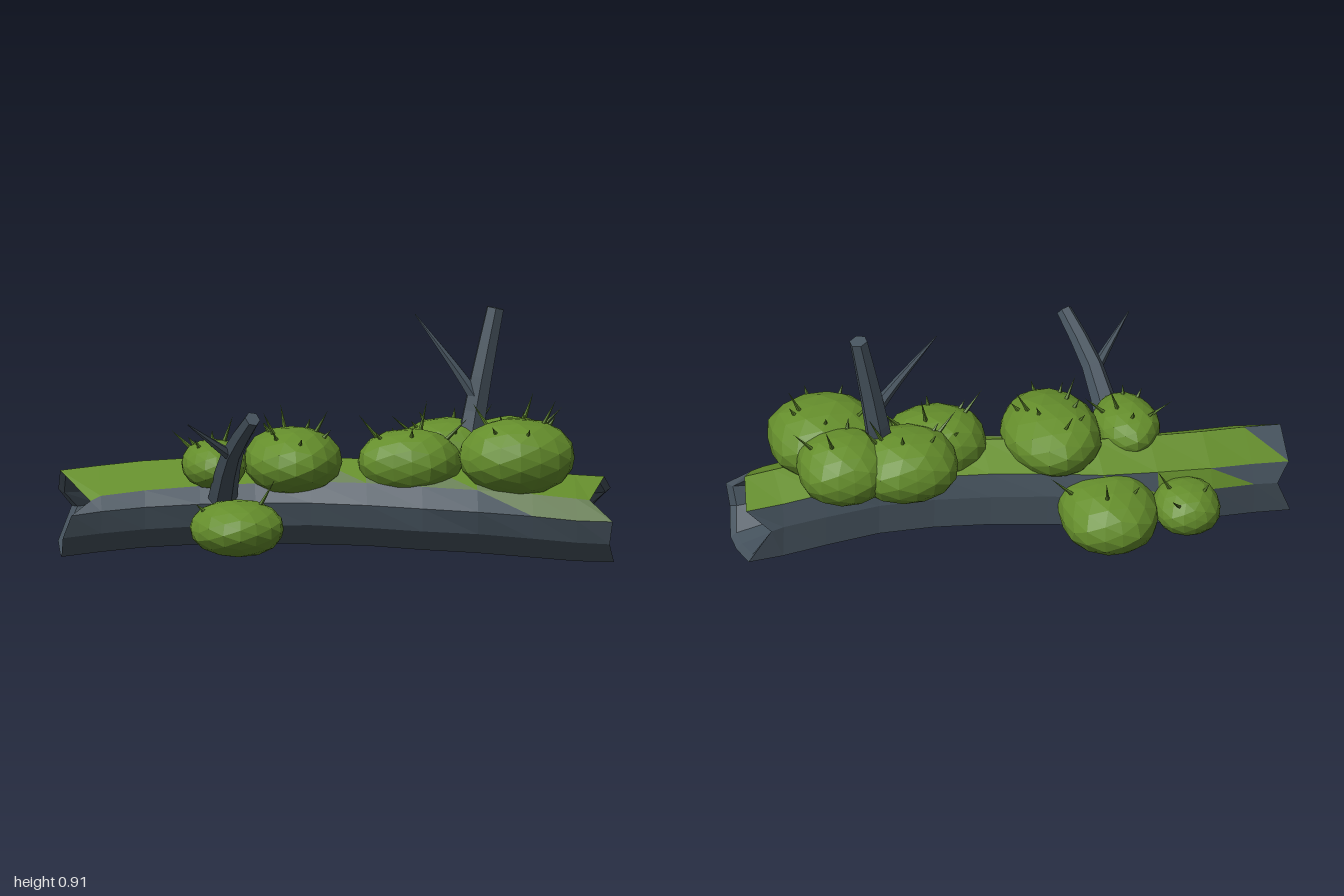
import * as THREE from 'three';

const mat = (name, color) => {
  const m = new THREE.MeshStandardMaterial({ color, flatShading: true });
  m.name = name;
  return m;
};

// Seeded random numbers
function seeded(s) {
  return () => {
    s = (s * 16807) % 2147483647;
    return s / 2147483647;
  };
}

// Hollow curved log: outer rings, then inner rings back, joined at both ragged ends
function makeLog(bark, moss, faded) {
  const rand = seeded(41);
  // Cross-section (z, y), from the top round by the front
  const profile = [[-0.02, 0.155], [0.122, 0.088], [0.178, 0.015], [0.155, -0.07], [0.07, -0.15],
    [-0.02, -0.152], [-0.16, -0.125], [-0.172, 0], [-0.16, 0.09]];
  // Stations: x, centre y, centre z
  const stations = [[-1, 0.17, -0.06], [-0.86, 0.183, -0.07], [-0.7, 0.195, -0.085], [-0.5, 0.205, -0.085],
    [-0.3, 0.21, -0.07], [-0.1, 0.215, -0.02], [0.1, 0.213, 0.03], [0.3, 0.205, 0.075],
    [0.5, 0.195, 0.1], [0.7, 0.178, 0.1], [0.86, 0.16, 0.097], [1, 0.154, 0.09]];
  const n = stations.length, sides = profile.length;
  // How far each corner of the rim is broken away
  const leftNotch = [0, 0.1, 0.03, 0, 0, 0, 0, 0.05, 0];
  const rightNotch = [0.03, 0.09, 0.01, 0.02, 0, 0, 0.01, 0.09, 0];
  const ring = (i, k) => profile.map(([z, y], j) => {
    const [x, cy, cz] = stations[i];
    const end = i === 0 || i === n - 1;
    const cut = i === 0 ? leftNotch[j] : i === n - 1 ? -rightNotch[j] : 0;
    const inset = end && k < 1 ? -Math.sign(x) * 0.02 : 0;
    // The upper edges sink towards the left end
    const sink = j === 1 || j === 8 ? Math.max(0, -x) : 0;
    const s = k * (1 + (rand() - 0.5) * 0.03);
    return [x + cut + inset, cy + (y - 0.025 * sink) * s, cz + (z + 0.02 * sink) * s];
  });
  const loops = [];
  for (let i = 0; i < n; i++) loops.push(ring(i, 1));
  for (let i = n - 1; i >= 0; i--) loops.push(ring(i, i === 0 || i === n - 1 ? 0.86 : 0.72));

  // Colour of the lower and upper triangle of each face: 0 bark, 1 moss, 2 faded
  const colours = (k, j) => {
    if (k >= n - 1) return [0, 0];
    if (j === 0) return k >= 5 && k <= 8 ? [2, 1] : [1, 1];
    if (j === 8) return k === 0 ? [0, 1] : [1, 1];
    if (j === 7 && k === 2) return [1, 1];
    if (j === 7 && (k === 1 || k === 3)) return [0, 1];
    if (j === 1 && k === 8) return [0, 2];
    if (j === 1 && k > 8) return [2, 2];
    return [0, 0];
  };
  const faces = [[], [], []];
  loops.forEach((a, k) => {
    const b = loops[(k + 1) % loops.length];
    for (let j = 0; j < sides; j++) {
      const j2 = (j + 1) % sides;
      const [first, second] = colours(k, j);
      faces[first].push(...a[j], ...a[j2], ...b[j2]);
      faces[second].push(...a[j], ...b[j2], ...b[j]);
    }
  });
  const geo = new THREE.BufferGeometry();
  geo.setAttribute('position', new THREE.Float32BufferAttribute(faces.flat(), 3));
  let start = 0;
  faces.forEach((f, m) => {
    geo.addGroup(start, f.length / 3, m);
    start += f.length / 3;
  });
  geo.computeVertexNormals();
  const log = new THREE.Mesh(geo, [bark, moss, faded]);
  log.name = 'hollowLog';
  return log;
}

// Tapered six-sided limb along a curve, closed flat at the tip
function makeLimb(name, points, r0, r1, material) {
  const segs = 6, sides = 6;
  const curve = new THREE.CatmullRomCurve3(points.map(p => new THREE.Vector3(...p)));
  const geo = new THREE.TubeGeometry(curve, segs, 1, sides);
  const pos = geo.attributes.position, v = new THREE.Vector3();
  for (let i = 0; i <= segs; i++) {
    const t = Math.min(1, i / (segs - 1));
    const from = curve.getPointAt(i / segs), to = curve.getPointAt(t);
    const r = i === segs ? 0 : r0 + (r1 - r0) * t;
    for (let j = 0; j <= sides; j++) {
      const id = i * (sides + 1) + j;
      v.fromBufferAttribute(pos, id).sub(from).multiplyScalar(r).add(to);
      pos.setXYZ(id, v.x, v.y, v.z);
    }
  }
  geo.computeVertexNormals();
  const mesh = new THREE.Mesh(geo, material);
  mesh.name = name;
  return mesh;
}

// Faceted, slightly squared moss cushion with thin blades on its crown
function makeCushion([x, y, z, rx, ry, rz, blades], index, moss, blade) {
  const rand = seeded(101 + index * 977);
  const group = new THREE.Group();
  group.name = 'mossCushion' + (index + 1);
  group.position.set(x, y, z);

  const geo = new THREE.IcosahedronGeometry(1, 2);
  const pos = geo.attributes.position, power = 2.12;
  for (let i = 0; i < pos.count; i++) {
    const [a, b, c] = [pos.getX(i), pos.getY(i), pos.getZ(i)];
    const sum = [a, b, c].reduce((t, q) => t + Math.abs(q) ** power, 0);
    const k = sum ** (-1 / power) * (1.01 + 0.03 * Math.sin(a * 5 + index) * Math.cos(c * 4 + b * 3));
    pos.setXYZ(i, a * k * rx, b * k * ry, c * k * rz);
  }
  geo.computeVertexNormals();
  const body = new THREE.Mesh(geo, moss);
  body.name = 'cushion';
  group.add(body);

  // Every third blade is long, the rest are short
  const up = new THREE.Vector3(0, 1, 0);
  for (let i = 0; i < blades; i++) {
    const ang = (i / blades) * Math.PI * 2 + rand(), tilt = 0.3 + rand() * 0.6;
    const dir = new THREE.Vector3(Math.cos(ang) * Math.sin(tilt), Math.cos(tilt), Math.sin(ang) * Math.sin(tilt));
    const h = i % 3 === 0 ? 0.1 + rand() * 0.03 : 0.045;
    const spike = new THREE.Mesh(new THREE.ConeGeometry(0.009, h, 4), blade);
    spike.name = 'mossBlade';
    spike.quaternion.setFromUnitVectors(up, dir);
    spike.position.set(dir.x * rx, dir.y * ry, dir.z * rz).addScaledVector(dir, h * 0.35);
    group.add(spike);
  }
  return group;
}

export function createModel() {
  const model = new THREE.Group();
  model.name = 'mossyLog';
  const bark = mat('slate bark', 0x46535e);
  const moss = mat('moss green', 0x658e2c);
  const faded = mat('faded moss', 0x6b8258);
  const blade = mat('dark moss', 0x567a28);

  model.add(makeLog(bark, moss, faded));

  // Branches and their pointed twigs
  model.add(
    makeLimb('tallBranch', [[0.46, 0.28, -0.01], [0.5, 0.5, -0.045], [0.53, 0.66, -0.058], [0.582, 0.906, -0.08]], 0.055, 0.034, bark),
    makeLimb('tallBranchTwig', [[0.51, 0.58, -0.04], [0.45, 0.67, -0.05], [0.29, 0.885, -0.08]], 0.026, 0.002, bark),
    makeLimb('frontBranch', [[-0.42, 0.2, 0.04], [-0.41, 0.33, 0.17], [-0.39, 0.45, 0.3], [-0.33, 0.588, 0.468]], 0.056, 0.029, bark),
    makeLimb('frontBranchTwig', [[-0.39, 0.42, 0.28], [-0.44, 0.46, 0.33], [-0.565, 0.565, 0.44]], 0.024, 0.002, bark)
  );

  // Moss cushions: centre, radii, number of blades
  const cushions = [
    [0.652, 0.393, 0.14, 0.21, 0.136, 0.2, 6],
    [0.635, 0.38, -0.07, 0.17, 0.128, 0.172, 4],
    [0.41, 0.375, -0.1, 0.19, 0.125, 0.18, 7],
    [0.262, 0.362, 0.055, 0.19, 0.12, 0.165, 7],
    [-0.16, 0.365, 0, 0.178, 0.118, 0.24, 9],
    [-0.445, 0.355, 0.01, 0.118, 0.087, 0.168, 7],
    [-0.37, 0.147, 0.2, 0.17, 0.1, 0.2, 3],
    [-0.305, 0.165, -0.265, 0.178, 0.125, 0.225, 4],
    [-0.585, 0.18, -0.325, 0.12, 0.09, 0.14, 4]
  ];
  cushions.forEach((c, i) => model.add(makeCushion(c, i, moss, blade)));
  return model;
}
